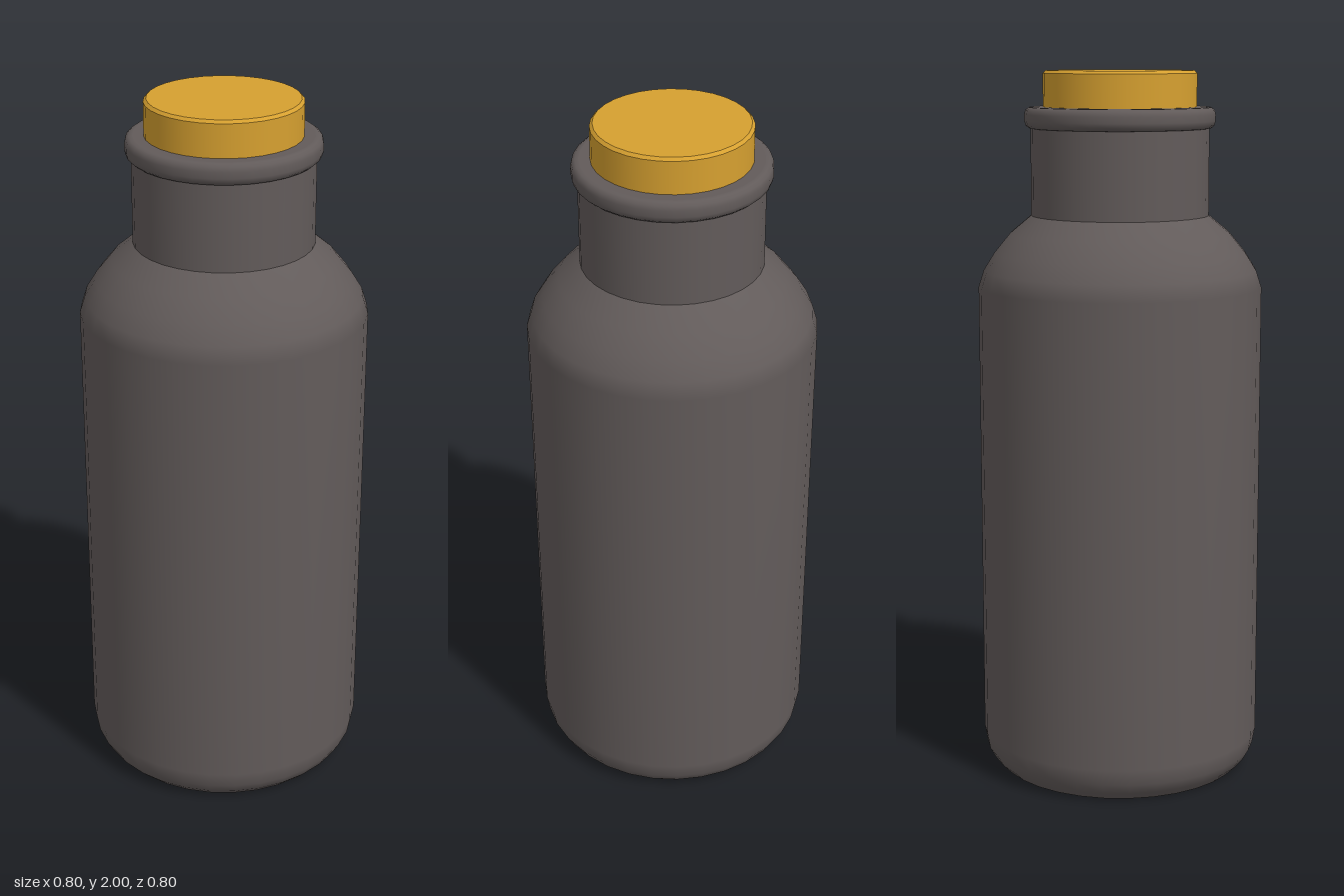
import * as THREE from 'three';

const SIDES = 32;

export function createModel() {
  const model = new THREE.Group();
  const glass = new THREE.MeshStandardMaterial({ color: 0x625b5a });
  const cork = new THREE.MeshStandardMaterial({ color: 0xd6a030 });

  // Turns a profile of [radius, height] points, listed outside-up; normals are smooth along it
  function turned(name, material, profile) {
    const points = profile.map(([r, y]) => new THREE.Vector2(r, y));
    const mesh = new THREE.Mesh(new THREE.LatheGeometry(points, SIDES), material);
    mesh.name = name;
    model.add(mesh);
  }

  // Bottle: separate strips keep the edges between them sharp
  turned('base', glass, [[0, 0], [0.35, 0]]);
  turned('body', glass, [
    [0.35, 0], [0.375, 0.025], [0.392, 0.055], [0.4, 0.1],
    [0.4, 1.4], [0.385, 1.447], [0.355, 1.495], [0.31, 1.55], [0.25, 1.6],
  ]);
  turned('neck', glass, [[0.25, 1.6], [0.25, 1.85]]);

  // Rounded lip around the mouth
  turned('lip', glass, [
    [0.245, 1.84], [0.255, 1.842], [0.264, 1.85], [0.267, 1.862],
    [0.267, 1.88], [0.264, 1.892], [0.255, 1.899], [0.245, 1.9],
  ]);
  turned('lipTop', glass, [[0.245, 1.9], [0.2, 1.9]]);

  // Stopper with a small chamfer on its top edge
  turned('stopperSide', cork, [[0.215, 1.88], [0.215, 1.992]]);
  turned('stopperChamfer', cork, [[0.215, 1.992], [0.207, 2]]);
  turned('stopperTop', cork, [[0.207, 2], [0, 2]]);

  return model;
}
